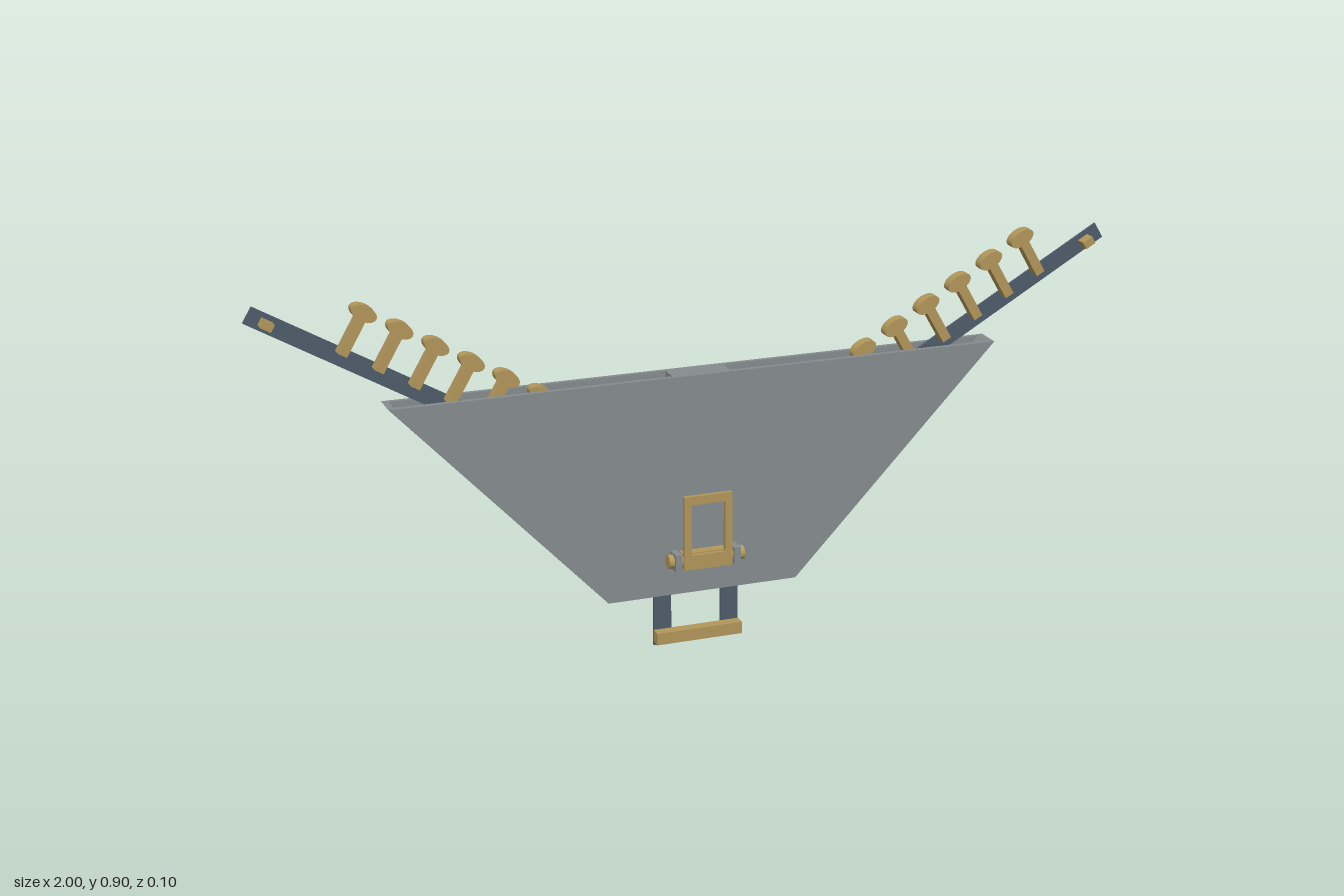
import * as THREE from 'three';

const mat = (name, color) => new THREE.MeshStandardMaterial({ name, color });

export function createModel() {
  const root = new THREE.Group();
  root.name = 'studdedHolder';
  const grey = mat('plateGrey', 0x868c8f);
  const brass = mat('brass', 0xb2975a);
  const steel = mat('blueSteel', 0x4e5d6b);

  const add = (name, geo, material, parent = root) => {
    const m = new THREE.Mesh(geo, material);
    m.name = name;
    parent.add(m);
    return m;
  };
  // box given by its limits
  const box = (x0, x1, y0, y1, z0, z1) =>
    new THREE.BoxGeometry(x1 - x0, y1 - y0, z1 - z0)
      .translate((x0 + x1) / 2, (y0 + y1) / 2, (z0 + z1) / 2);
  const toShape = (pts) => new THREE.Shape(pts.map(([x, y]) => new THREE.Vector2(x, y)));
  // outline extruded from z0 to z1
  const slab = (shape, z0, z1) =>
    new THREE.ExtrudeGeometry(shape, { depth: z1 - z0, bevelEnabled: false }).translate(0, 0, z0);

  // Trapezoid housing: two plates, slanted side walls, top spacer
  const top = 0.65, bottom = 0.138, wide = 0.71, narrow = 0.225, wall = 0.015;
  const trapezoid = toShape([[-narrow, bottom], [narrow, bottom], [wide, top], [-wide, top]]);
  add('frontPlate', slab(trapezoid, 0.003, 0.015), grey);
  add('backPlate', slab(trapezoid, -0.05, -0.04), grey);
  add('topSpacer', box(-0.068, 0.068, 0.56, top, -0.04, 0.003), grey);

  const stud = new THREE.Group();
  stud.name = 'stud';
  add('studStem', box(-0.011, 0.011, 0.008, 0.1, -0.031, -0.005), brass, stud);
  add('studHead', new THREE.CylinderGeometry(1, 1, 0.026, 20).rotateX(Math.PI / 2)
    .scale(0.03, 0.017, 1).translate(0, 0.108, -0.018), brass, stud);

  for (const s of [1, -1]) {
    const side = s > 0 ? 'left' : 'right';
    add(side + 'Wall', slab(toShape([
      [s * narrow, bottom], [s * wide, top], [s * (wide - wall), top], [s * (narrow - wall), bottom],
    ]), -0.04, 0.003), grey);

    // Flat strip: upright leg bending out into the raised arm
    add(side + 'ArmAndLeg', slab(toShape([
      [s * 0.06, 0], [s * 0.102, 0], [s * 0.102, 0.339],
      [s * 1.0, 0.858], [s * 0.98, 0.892], [s * 0.06, 0.361],
    ]), -0.037, -0.031), steel);

    // Row of studs and the end pin, laid out along the arm
    const row = new THREE.Group();
    row.name = side + 'StudRow';
    row.position.set(s * 0.99, 0.875, 0);
    row.rotation.z = s * Math.PI / 6;
    root.add(row);
    const first = s > 0 ? 0.178 : 0.216;
    for (let i = 0; i < 8; i++) {
      const copy = stud.clone();
      copy.position.x = -s * (first + i * 0.089);
      row.add(copy);
    }
    const pinX = -s * 0.042;
    add('endPin', box(pinX - 0.013, pinX + 0.013, -0.009, 0.009, -0.031, -0.005), brass, row);

    // Hinge bracket
    add(side + 'HingeBracket', box(s * 0.07 - 0.008, s * 0.07 + 0.008, 0.205, 0.245, 0.015, 0.05), grey);
  }

  // Crossbar joining the feet
  add('footCrossbar', box(-0.103, 0.103, 0.01, 0.038, -0.031, -0.005), brass);

  // Hinged front buckle
  const frame = toShape([[-0.057, 0.206], [0.057, 0.206], [0.057, 0.38], [-0.057, 0.38]]);
  frame.holes.push(new THREE.Path([[-0.04, 0.24], [-0.04, 0.36], [0.04, 0.36], [0.04, 0.24]]
    .map(([x, y]) => new THREE.Vector2(x, y))));
  add('buckleFrame', slab(frame, 0.04, 0.05), brass);
  add('buckleHub', box(-0.057, 0.057, 0.208, 0.243, 0.018, 0.042), brass);
  add('hingePin', new THREE.CylinderGeometry(0.016, 0.016, 0.18, 20)
    .rotateZ(Math.PI / 2).translate(0, 0.225, 0.03), brass);

  return root;
}
